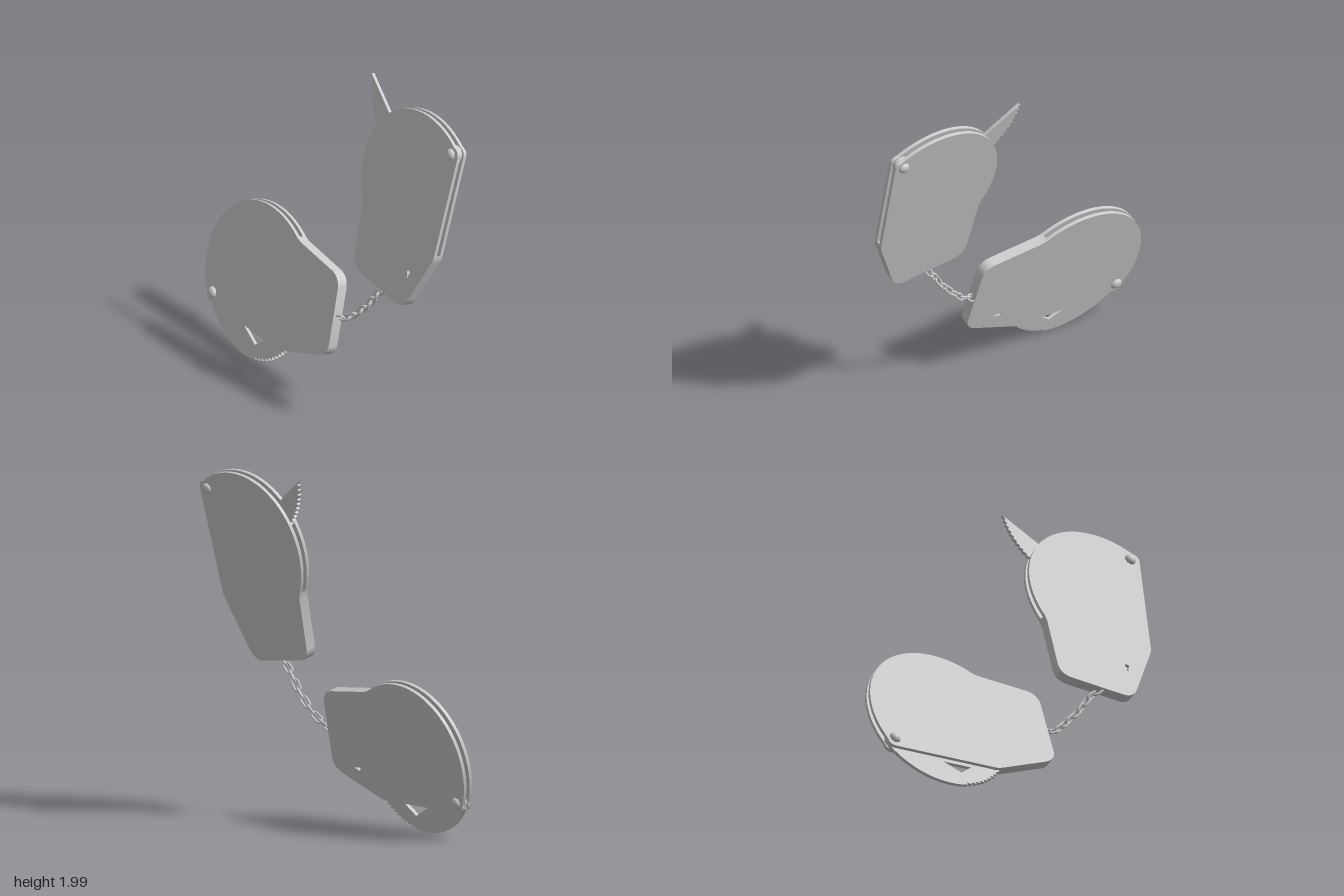
import * as THREE from 'three';
import { toCreasedNormals } from 'three/addons/utils/BufferGeometryUtils.js';

const material = new THREE.MeshStandardMaterial({ color: 0xcccccc });
const RADIUS = 0.46;          // cuff ring radius
const PIVOT = [-0.36, -0.2];  // jaw hinge, in cuff coordinates
const PLATE = 0.02, GAP = 0.024;

// Straight and rounded edges of the shank, shared by plates and core
function shankEdge(s) {
  s.lineTo(0.575, -0.135);
  s.quadraticCurveTo(0.64, -0.11, 0.645, -0.05);
  s.lineTo(0.635, 0.28);
  s.quadraticCurveTo(0.625, 0.345, 0.56, 0.352);
  s.lineTo(0.27, 0.383);
  s.lineTo(0.235, 0.395);
}

function plateShape() {
  const s = new THREE.Shape();
  s.moveTo(-0.36, -0.257);
  s.lineTo(0.24, -0.257);
  s.quadraticCurveTo(0.265, -0.257, 0.29, -0.247);
  shankEdge(s);
  s.absarc(0, 0, RADIUS, 1.035, Math.PI * 1.155, false);
  s.quadraticCurveTo(-0.403, -0.257, -0.36, -0.257);
  return s;
}

// Filler between the plates; it leaves the ring open for the jaw
function coreShape() {
  const s = new THREE.Shape();
  s.moveTo(0.24, -0.257);
  s.quadraticCurveTo(0.265, -0.257, 0.29, -0.247);
  shankEdge(s);
  s.quadraticCurveTo(0.42, 0.05, 0.24, -0.257);
  return s;
}

// Small keyhole with a slot
function keyhole() {
  const h = new THREE.Path();
  h.absarc(0.43, -0.09, 0.013, 0.4, Math.PI * 2 - 0.4, false);
  h.lineTo(0.462, -0.095);
  h.lineTo(0.462, -0.085);
  return h;
}

// Crescent jaw with a toothed outer edge and a pointed tip
function jawShape() {
  const cx = -0.05, cy = 0, r = 0.42, points = [];
  const at = (angle, rad) => points.push(
    new THREE.Vector2(cx + rad * Math.cos(angle), cy + rad * Math.sin(angle)));
  const start = THREE.MathUtils.degToRad(-145);
  const teeth = THREE.MathUtils.degToRad(-76);
  const tip = THREE.MathUtils.degToRad(7);
  for (let i = 0; i <= 14; i++) at(start + (teeth - start) * i / 14, r);
  const count = 20;
  for (let i = 0; i < count; i++) {
    at(teeth + (tip - teeth) * (i + 0.15) / count, r - 0.014);
    at(teeth + (tip - teeth) * (i + 1) / count, r);
  }
  for (const [x, y] of [[0.197, -0.13], [0.12, -0.26], [0.03, -0.33], [-0.1, -0.26], [-0.34, -0.16], [-0.39, -0.18]])
    points.push(new THREE.Vector2(x, y));
  return new THREE.Shape(points);
}

function slab(shape, depth, w) {
  const g = new THREE.ExtrudeGeometry(shape, { depth, bevelEnabled: false, curveSegments: 28 });
  g.translate(0, 0, w - depth / 2);
  return toCreasedNormals(g, 0.5);
}

function createCuff(name, placement, jawAngle) {
  const cuff = new THREE.Group();
  cuff.name = name;
  const add = (part, geometry) => {
    const mesh = new THREE.Mesh(geometry.applyMatrix4(placement), material);
    mesh.name = part;
    cuff.add(mesh);
  };

  // Two side plates around the core
  const offset = (GAP + PLATE) / 2;
  add('plainPlate', slab(plateShape(), PLATE, offset));
  const keyed = plateShape();
  keyed.holes.push(keyhole());
  add('keyholePlate', slab(keyed, PLATE, -offset));
  add('shankCore', slab(coreShape(), GAP, 0));

  // Jaw turned about its hinge
  const jaw = slab(jawShape(), GAP - 0.004, 0);
  jaw.translate(-PIVOT[0], -PIVOT[1], 0).rotateZ(jawAngle).translate(PIVOT[0], PIVOT[1], 0);
  add('jaw', jaw);

  // Hinge barrel and domed rivet heads
  const barrel = new THREE.CylinderGeometry(0.045, 0.045, GAP, 20);
  add('hingeBarrel', barrel.rotateX(Math.PI / 2).translate(PIVOT[0], PIVOT[1], 0));
  for (const side of [1, -1]) {
    const dome = new THREE.SphereGeometry(0.032, 20, 8, 0, Math.PI * 2, 0, Math.PI / 2);
    dome.scale(1, 0.75, 1).rotateX(side * Math.PI / 2);
    add('rivetHead', dome.translate(PIVOT[0], PIVOT[1], side * (GAP / 2 + PLATE)));
  }
  return cuff;
}

// Places a cuff on the plane z = a x + b y, turned by an angle and optionally flipped
function place(center, a, b, angle, flip) {
  const along = t => new THREE.Vector3(
    Math.cos(t), Math.sin(t), a * Math.cos(t) + b * Math.sin(t));
  const side = flip ? -1 : 1;
  const normal = new THREE.Vector3(-a, -b, 1).normalize().multiplyScalar(side);
  return new THREE.Matrix4()
    .makeBasis(along(angle), along(angle + side * Math.PI / 2), normal)
    .setPosition(...center);
}

function createChain() {
  const chain = new THREE.Group();
  chain.name = 'chain';
  const path = new THREE.CatmullRomCurve3([
    [0.155, 0.53, 0.11], [0.24, 0.575, 0.12], [0.31, 0.64, 0.12],
    [0.39, 0.73, 0.135], [0.455, 0.825, 0.15], [0.515, 0.885, 0.165],
  ].map(p => new THREE.Vector3(...p)));

  // Oval link lying along x
  const oval = new THREE.CatmullRomCurve3([
    [0.036, 0], [0.027, 0.015], [0, 0.018], [-0.027, 0.015],
    [-0.036, 0], [-0.027, -0.015], [0, -0.018], [0.027, -0.015],
  ].map(([x, y]) => new THREE.Vector3(x, y, 0)), true);
  const link = new THREE.TubeGeometry(oval, 32, 0.0065, 8, true);

  const count = 10, xAxis = new THREE.Vector3(1, 0, 0);
  for (let i = 0; i < count; i++) {
    const t = i / (count - 1);
    const mesh = new THREE.Mesh(link, material);
    mesh.name = 'chainLink';
    mesh.position.copy(path.getPointAt(t));
    mesh.quaternion.setFromUnitVectors(xAxis, path.getTangentAt(t));
    mesh.rotateX((i % 2) * Math.PI / 2 + 0.6);
    chain.add(mesh);
  }
  return chain;
}

export function createModel() {
  const model = new THREE.Group();
  model.name = 'handcuffs';
  const deg = THREE.MathUtils.degToRad;
  model.add(
    createCuff('closedCuff', place([-0.492, 0.422, -0.03], 0.28, -0.29, 0, false), 0),
    createCuff('openCuff', place([0.666, 1.522, 0.036], 0.26, -0.27, deg(265), true), deg(75.5)),
    createChain(),
  );
  return model;
}
